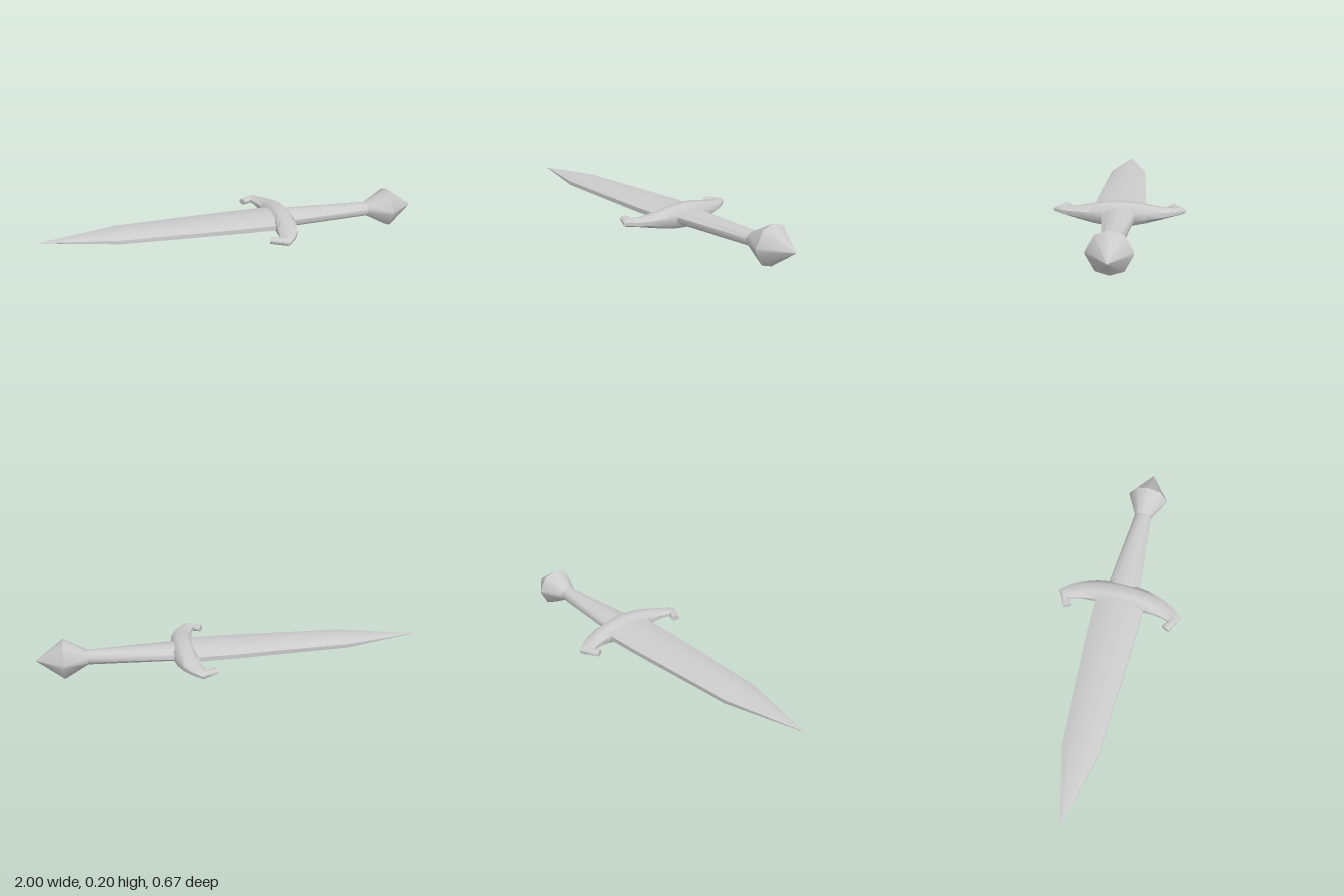
import * as THREE from 'three';
import { toCreasedNormals } from 'three/addons/utils/BufferGeometryUtils.js';

const MID = 0.103; // height of the dagger's long axis

// Skin a list of closed rings (equal point counts) and cap both ends.
function loft(rings, crease) {
  const n = rings[0].length;
  const positions = rings.flat().flatMap((p) => [p.x, p.y, p.z]);
  const index = [];
  for (let i = 0; i < rings.length - 1; i++) {
    for (let j = 0; j < n; j++) {
      const k = (j + 1) % n;
      const a = i * n + j, b = i * n + k, c = b + n, d = a + n;
      index.push(a, b, c, a, c, d);
    }
  }
  const last = (rings.length - 1) * n;
  for (let j = 1; j < n - 1; j++) {
    index.push(0, j + 1, j, last, last + j, last + j + 1);
  }
  const geo = new THREE.BufferGeometry();
  geo.setAttribute('position', new THREE.Float32BufferAttribute(positions, 3));
  geo.setIndex(index);
  return toCreasedNormals(geo, crease);
}

// Ten-sided ring across the long axis; edge sets how blunt the sides are.
function axisRing([x, halfZ, halfY, edge]) {
  const half = [[1, 0], [0.81, 0.61], [edge, 1], [-edge, 1], [-0.81, 0.61]];
  return [...half, ...half.map(([y, z]) => [-y, -z])]
    .map(([y, z]) => new THREE.Vector3(x, MID + y * halfY, z * halfZ));
}

// Eight-sided ring of the guard, spanning an inner and an outer point in plan.
function guardRing([inX, inZ, outX, outZ, halfY]) {
  const ring = [];
  for (let j = 0; j < 8; j++) {
    const a = ((j + 0.5) * Math.PI) / 4;
    const s = 1 / Math.cos(Math.PI / 8);
    const t = 0.5 + 0.5 * s * Math.cos(a);
    ring.push(new THREE.Vector3(
      inX + (outX - inX) * t,
      MID + halfY * s * Math.sin(a),
      inZ + (outZ - inZ) * t));
  }
  return ring;
}

export function createModel() {
  const group = new THREE.Group();
  group.name = 'dagger';
  const material = new THREE.MeshStandardMaterial({ color: 0xcccccc });
  const add = (name, rings, crease) => {
    const mesh = new THREE.Mesh(loft(rings, crease), material);
    mesh.name = name;
    group.add(mesh);
  };

  // Blade: tapered point, then slowly widening toward the guard
  add('blade', [
    [-1, 0.002, 0.002, 0.31],
    [-0.61, 0.097, 0.032, 0.31],
    [0, 0.126, 0.037, 0.31],
    [0.25, 0.131, 0.041, 0.31],
  ].map(axisRing), 0.7);

  // Grip: flattened, narrowing toward the pommel
  add('grip', [
    [0.22, 0.09, 0.042, 0.31],
    [0.74, 0.044, 0.036, 0.31],
  ].map(axisRing), 0.8);

  // Pommel: flared double cone
  add('pommel', [
    [0.74, 0.044, 0.036, 0.31],
    [0.86, 0.106, 0.102, 0.07],
    [1, 0.002, 0.002, 0.07],
  ].map(axisRing), 0.8);

  // Guard: half of the curved bar with its hooked end, mirrored across z
  const side = [
    [0.19, 0.07, 0.307, 0.07, 0.055],
    [0.19, 0.13, 0.298, 0.14, 0.044],
    [0.184, 0.19, 0.275, 0.22, 0.029],
    [0.176, 0.235, 0.243, 0.28, 0.02],
    [0.165, 0.27, 0.2, 0.333, 0.017],
    [0.13, 0.247, 0.11, 0.287, 0.015],
  ];
  const mirrored = side.map(([a, b, c, d, h]) => [a, -b, c, -d, h]).reverse();
  add('guard', [...mirrored, [0.19, 0, 0.311, 0, 0.06], ...side].map(guardRing), 0.9);

  return group;
}
